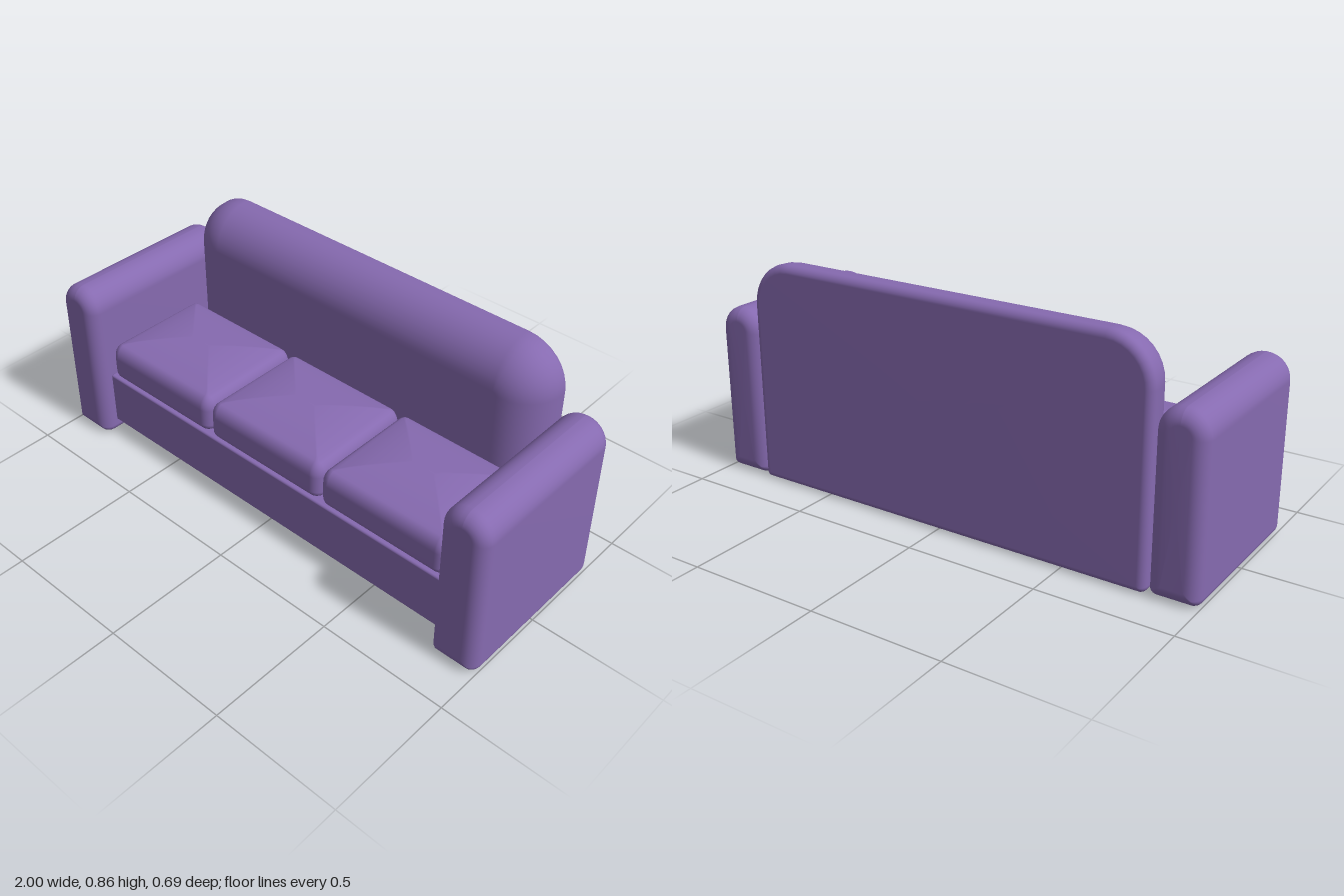
import * as THREE from 'three';
import { RoundedBoxGeometry } from 'three/addons/geometries/RoundedBoxGeometry.js';

const fabric = new THREE.MeshStandardMaterial({ color: 0x866ab0 });
fabric.name = 'purpleFabric';

// Counter-clockwise rounded rectangle, shrunk by an inset (bottom edge by its own inset)
function outline(s, inset, bottomInset = inset) {
  const hw = s.halfWidth - inset;
  const top = s.top - inset, bottom = s.bottom + bottomInset;
  const rt = Math.max(s.topRadius - inset, 0.004);
  const rb = Math.max(s.bottomRadius - inset, 0.004);
  const corners = [
    [hw - rb, bottom + rb, rb, -0.5], [hw - rt, top - rt, rt, 0],
    [-hw + rt, top - rt, rt, 0.5], [-hw + rb, bottom + rb, rb, 1],
  ];
  const pts = [], n = 8;
  for (const [cx, cy, r, start] of corners) {
    for (let i = 0; i <= n; i++) {
      const a = Math.PI * (start + 0.5 * i / n);
      pts.push([cx + r * Math.cos(a), cy + r * Math.sin(a)]);
    }
  }
  return pts;
}

// Skin a stack of outlines along z; rings are [z, inset, bottomInset]
function loft(s, rings) {
  const pos = [], index = [];
  let n = 0;
  for (const [z, inset, bottomInset] of rings) {
    const pts = outline(s, inset, bottomInset);
    n = pts.length;
    for (const [x, y] of pts) pos.push(x, y, z);
  }
  const last = (rings.length - 1) * n, mid = (s.top + s.bottom) / 2;
  const backCentre = pos.length / 3, frontCentre = backCentre + 1;
  pos.push(0, mid, rings[0][0], 0, mid, rings[rings.length - 1][0]);
  for (let i = 0; i < n; i++) {
    const j = (i + 1) % n;
    for (let k = 0; k < last; k += n) {
      index.push(k + i, k + j, k + n + j, k + i, k + n + j, k + n + i);
    }
    index.push(backCentre, j, i, frontCentre, last + i, last + j);
  }
  const g = new THREE.BufferGeometry();
  g.setAttribute('position', new THREE.Float32BufferAttribute(pos, 3));
  g.setIndex(index);
  g.computeVertexNormals();
  return g;
}

// Quarter-ellipse rings: opening from the back end, or closing toward the front end
function opening(z, depth, inset, bottomInset = inset, n = 6) {
  return Array.from({ length: n + 1 }, (_, i) => {
    const a = Math.PI / 2 * i / n, f = 1 - Math.sin(a);
    return [z + depth * (1 - Math.cos(a)), inset * f, bottomInset * f];
  });
}
function closing(z, depth, inset, bottomInset = inset, n = 6) {
  return opening(0, depth, inset, bottomInset, n).reverse().map(([d, a, b]) => [z - d, a, b]);
}

function part(name, geometry, x = 0, y = 0, z = 0) {
  const m = new THREE.Mesh(geometry, fabric);
  m.name = name;
  m.position.set(x, y, z);
  return m;
}

export function createModel() {
  const sofa = new THREE.Group();
  sofa.name = 'sofa';

  // Armrests with fully round tops
  const arm = loft(
    { halfWidth: 0.091, bottom: 0, top: 0.656, topRadius: 0.09, bottomRadius: 0.03 },
    [...opening(-0.345, 0.05, 0.05), ...closing(0.345, 0.05, 0.05)]
  );
  sofa.add(part('leftArm', arm, 0.909), part('rightArm', arm, -0.909));

  // Backrest: tight edge behind, broad roll toward the seat
  const back = loft(
    { halfWidth: 0.816, bottom: 0, top: 0.86, topRadius: 0.17, bottomRadius: 0.025 },
    [...opening(-0.345, 0.03, 0.03, 0.025), ...closing(-0.152, 0.15, 0.155, 0.015, 10)]
  );
  sofa.add(part('backrest', back));

  // Seat base raised off the floor
  sofa.add(part('seatBase', new RoundedBoxGeometry(1.64, 0.22, 0.585, 3, 0.008), 0, 0.165, -0.0075));

  // Three crowned seat cushions
  const cushion = loft(
    { halfWidth: 0.269, bottom: -0.225, top: 0.225, topRadius: 0.04, bottomRadius: 0.04 },
    [
      ...opening(0.272, 0.03, 0.03),
      ...closing(0.422, 0.055, 0.04).slice(0, -1),
      [0.424, 0.045], [0.432, 0.075], [0.439, 0.115], [0.445, 0.16], [0.448, 0.2], [0.449, 0.22],
    ]
  );
  cushion.rotateX(-Math.PI / 2);
  for (const [i, name] of ['rightCushion', 'middleCushion', 'leftCushion'].entries()) {
    sofa.add(part(name, cushion, (i - 1) * 0.541, 0, 0.055));
  }
  return sofa;
}
